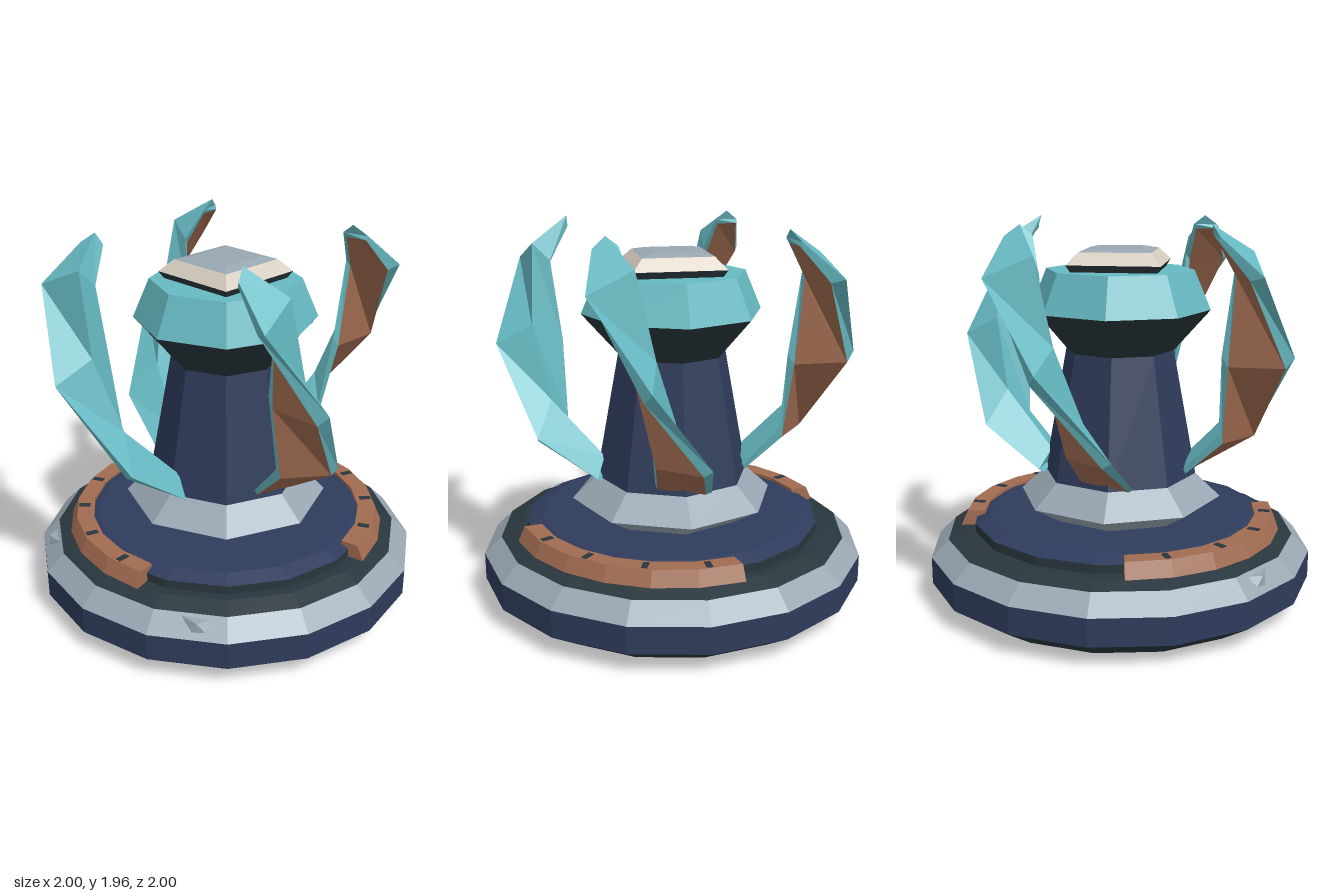
import * as THREE from 'three';
import { ConvexGeometry } from 'three/addons/geometries/ConvexGeometry.js';

const mat = (name, color) => {
  const m = new THREE.MeshStandardMaterial({ color });
  m.name = name;
  return m;
};

export function createModel() {
  const teal = mat('teal', 0x66b9c2);
  const copper = mat('copper', 0xa06b50);
  const grey = mat('steel grey', 0x99a7b3);
  const navy = mat('navy', 0x2e3b5b);
  const dark = mat('dark slate', 0x29363d);
  const cream = mat('cream', 0xd8cfc2);

  const root = new THREE.Group();
  root.name = 'clawTower';

  const add = (name, geometry, material, parent = root) => {
    const mesh = new THREE.Mesh(geometry, material);
    mesh.name = name;
    parent.add(mesh);
    return mesh;
  };

  // Flat-faceted ring between two heights, optionally closed with end discs
  const band = (name, sides, r0, y0, r1, y1, material, closed = false, turn = 0) => {
    let g = new THREE.CylinderGeometry(r1, r0, y1 - y0, sides, 1, !closed);
    g.rotateY(turn);
    g.translate(0, (y0 + y1) / 2, 0);
    g = g.toNonIndexed();
    g.computeVertexNormals();
    return add(name, g, material);
  };

  const disc = (name, sides, r, y, material, down = false) => {
    const g = new THREE.CircleGeometry(r, sides);
    g.rotateX(down ? Math.PI / 2 : -Math.PI / 2);
    g.translate(0, y, 0);
    return add(name, g, material);
  };

  // Joins cross-section loops; edges listed in accent go to the second material group
  const loft = (sections, accent = []) => {
    const main = [], second = [];
    const n = sections[0].length;
    for (let s = 0; s + 1 < sections.length; s++) {
      for (let i = 0; i < n; i++) {
        const j = (i + 1) % n, lo = sections[s], hi = sections[s + 1];
        const out = accent.includes(i) ? second : main;
        out.push(lo[i], hi[i], hi[j], lo[i], hi[j], lo[j]);
      }
    }
    const first = sections[0], last = sections[sections.length - 1];
    for (let i = 1; i + 1 < n; i++) {
      main.push(first[0], first[i], first[i + 1], last[0], last[i + 1], last[i]);
    }
    const g = new THREE.BufferGeometry();
    g.setAttribute('position', new THREE.Float32BufferAttribute([...main, ...second].flat(), 3));
    g.addGroup(0, main.length, 0);
    if (second.length) g.addGroup(main.length, second.length, 1);
    g.computeVertexNormals();
    return g;
  };

  // Round base
  disc('baseUnderside', 16, 0.83, 0, dark, true);
  band('baseFoot', 16, 0.83, 0, 1, 0.11, dark);
  band('baseWall', 16, 1, 0.11, 1, 0.25, navy);
  band('baseBevel', 16, 1, 0.25, 0.91, 0.34, grey);
  band('baseShoulder', 16, 0.91, 0.34, 0.82, 0.37, dark);
  disc('baseLedge', 16, 0.82, 0.37, dark);
  band('deckWall', 16, 0.77, 0.37, 0.77, 0.415, dark);
  band('deckRim', 16, 0.77, 0.415, 0.69, 0.442, navy);
  disc('deckTop', 16, 0.69, 0.442, navy);

  // Two copper rails on the deck, with dark notches
  const rad = Math.PI / 180;
  const railProfile = [[0.71, 0.37], [0.84, 0.37], [0.805, 0.447], [0.715, 0.447]];
  const railSections = [];
  for (let i = 0; i <= 6; i++) {
    const a = (10 + (94 * i) / 6) * rad;
    railSections.push(railProfile.map(([r, y]) => [r * Math.cos(a), y, -r * Math.sin(a)]));
  }
  const railGeometry = loft(railSections);
  for (let side = 0; side < 2; side++) {
    const rail = new THREE.Group();
    rail.name = 'deckRail';
    rail.rotation.y = side * Math.PI;
    root.add(rail);
    add('railArc', railGeometry, copper, rail);
    for (const deg of [25, 47.5, 70, 92.5]) {
      const notch = add('railNotch', new THREE.BoxGeometry(0.06, 0.008, 0.03), dark, rail);
      notch.position.set(0.762 * Math.cos(deg * rad), 0.447, -0.762 * Math.sin(deg * rad));
      notch.rotation.y = deg * rad;
    }
  }

  // Small wedges on the front of the base bevel
  for (const side of [-1, 1]) {
    const corners = [[0.47, 0.33, 0.775], [0.59, 0.325, 0.7], [0.6, 0.28, 0.745],
      [0.545, 0.27, 0.785], [0.565, 0.325, 0.77]];
    add('baseWedge', new ConvexGeometry(
      corners.map(([x, y, z]) => new THREE.Vector3(side * x, y, z))), grey);
  }

  // Octagonal tower
  band('collarLower', 8, 0.38, 0.44, 0.53, 0.53, grey);
  band('collarUpper', 8, 0.53, 0.53, 0.4, 0.65, grey);
  band('column', 8, 0.4, 0.65, 0.28, 1.3, navy);
  band('neckFlare', 8, 0.28, 1.3, 0.465, 1.51, dark);
  band('head', 8, 0.465, 1.51, 0.38, 1.71, teal);
  disc('headTop', 8, 0.38, 1.71, teal);

  // Square cap
  const q = Math.SQRT2, t = Math.PI / 4;
  band('capBase', 4, 0.215 * q, 1.71, 0.235 * q, 1.745, dark, false, t);
  band('capBand', 4, 0.235 * q, 1.745, 0.18 * q, 1.805, cream, false, t);
  band('capTop', 4, 0.18 * q, 1.805, 0.12 * q, 1.82, grey, true, t);

  // Twisting claw; each section: inner edge, back ridge, outer edge, copper outer, copper inner
  const clawGeometry = loft([
    [[0.35, 0.71, 0.15], [0.36, 0.76, -0.02], [0.41, 0.67, -0.125], [0.385, 0.65, -0.1], [0.36, 0.685, 0.14]],
    [[0.527, 0.91, 0.19], [0.62, 1.05, 0.08], [0.705, 0.885, -0.065], [0.7, 0.86, -0.02], [0.545, 0.86, 0.18]],
    [[0.537, 1.32, 0.265], [0.7, 1.42, 0.2], [0.887, 1.32, 0.25], [0.845, 1.27, 0.28], [0.57, 1.27, 0.275]],
    [[0.59, 1.74, 0.285], [0.68, 1.83, 0.29], [0.735, 1.73, 0.515], [0.67, 1.71, 0.49], [0.6, 1.71, 0.305]],
    [[0.49, 1.91, 0.335], [0.49, 1.957, 0.395], [0.53, 1.905, 0.46], [0.52, 1.885, 0.455], [0.505, 1.885, 0.345]],
  ], [3]);
  for (let i = 0; i < 4; i++) {
    add('claw', clawGeometry, [teal, copper]).rotation.y = (i * Math.PI) / 2;
  }

  return root;
}
